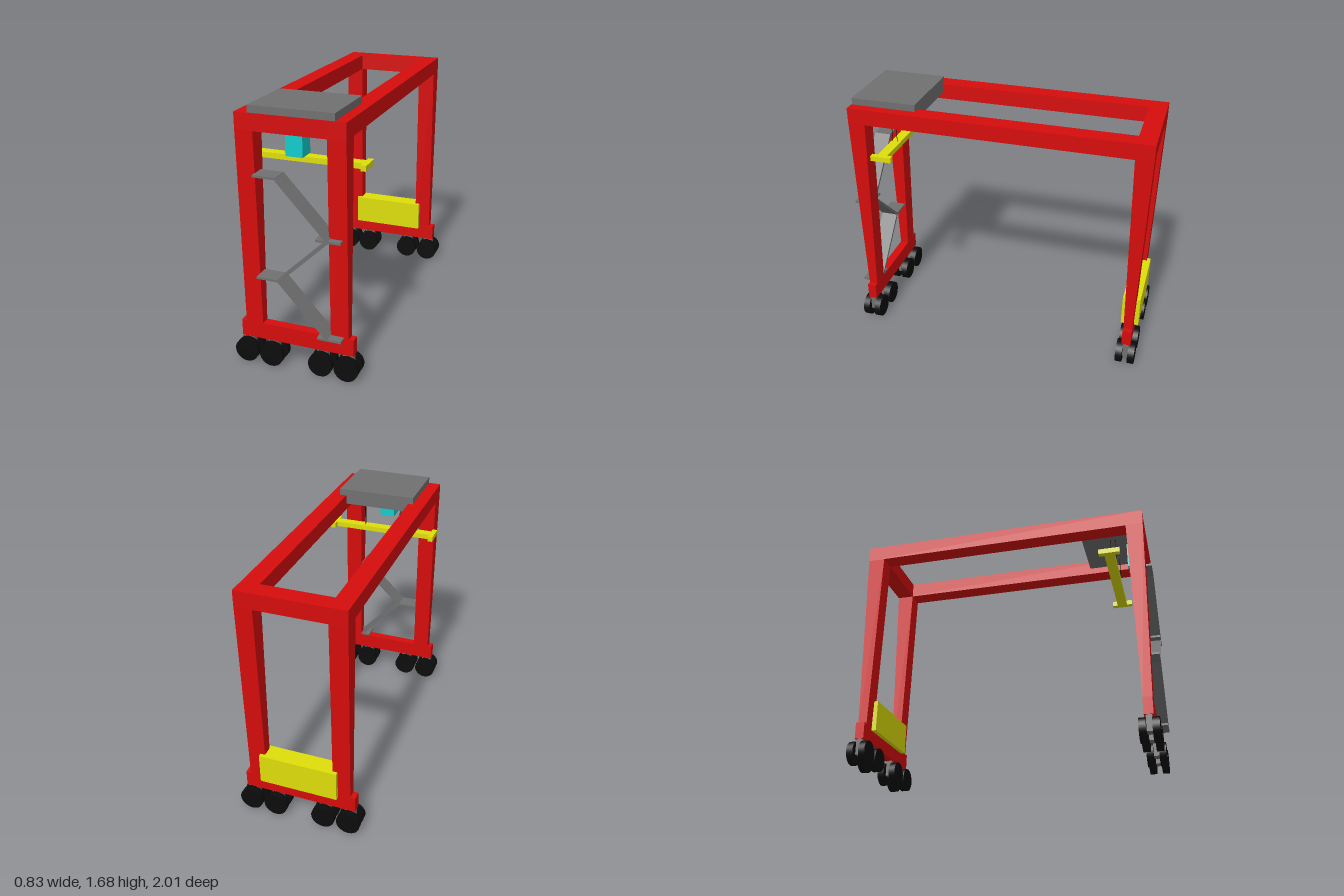
import * as THREE from 'three';

const mat = (color) => new THREE.MeshStandardMaterial({ color });

export function createModel() {
  const model = new THREE.Group();
  const red = mat(0xd60c0c), yellow = mat(0xdede0a), grey = mat(0x707070);
  const black = mat(0x0c0c0c), cyan = mat(0x10cccc);

  const add = (name, geometry, material) => {
    const mesh = new THREE.Mesh(geometry, material);
    mesh.name = name;
    model.add(mesh);
    return mesh;
  };
  // Box given by its limits on each axis
  const box = (name, material, [x0, x1], [y0, y1], [z0, z1]) => {
    const mesh = add(name, new THREE.BoxGeometry(x1 - x0, y1 - y0, z1 - z0), material);
    mesh.position.set((x0 + x1) / 2, (y0 + y1) / 2, (z0 + z1) / 2);
    return mesh;
  };

  // Tapered leg: its depth shrinks from top to bottom
  const legGeometry = new THREE.BoxGeometry(0.115, 1.27, 0.115);
  const p = legGeometry.attributes.position;
  for (let i = 0; i < p.count; i++) if (p.getY(i) < 0) p.setZ(i, p.getZ(i) * 0.5);
  legGeometry.computeVertexNormals();

  const wheelGeometry = new THREE.CylinderGeometry(0.078, 0.078, 0.044, 32).rotateX(Math.PI / 2);
  const axleGeometry = new THREE.CylinderGeometry(0.015, 0.015, 0.1, 12).rotateX(Math.PI / 2);

  // Two end frames: legs, sill, cross beam and running gear
  for (const [end, zc] of [['front', 0.913], ['back', -0.942]]) {
    box(end + 'Sill', red, [-0.375, 0.375], [0.165, 0.275], [zc - 0.03, zc + 0.03]);
    box(end + 'CrossBeam', red, [-0.228, 0.228], [1.53, 1.635], [zc - 0.058, zc + 0.058]);
    for (const s of [-1, 1]) {
      add(end + 'Leg', legGeometry, red).position.set(s * 0.2855, 0.9, zc);
      for (const x of [0.165, 0.335]) {
        box(end + 'WheelBracket', grey, [s * x - 0.035, s * x + 0.035], [0.06, 0.17], [zc - 0.02, zc + 0.02]);
        add(end + 'Axle', axleGeometry, black).position.set(s * x, 0.078, zc);
        for (const side of [-1, 1])
          add(end + 'Wheel', wheelGeometry, black).position.set(s * x, 0.078, zc + side * 0.041);
      }
    }
  }

  // Long girders carrying the trolley
  for (const s of [-1, 1])
    box('girder', red, s < 0 ? [-0.343, -0.228] : [0.228, 0.343], [1.53, 1.635], [-1, 0.971]);

  // Trolley, operator cabin, hoist cables and spreader
  box('trolley', grey, [-0.26, 0.275], [1.575, 1.68], [0.53, 0.965]);
  box('cabin', cyan, [-0.04, 0.067], [1.395, 1.577], [0.83, 0.94]);
  for (const x of [-0.115, 0.15])
    for (const z of [0.726, 0.758])
      add('cable', new THREE.CylinderGeometry(0.002, 0.002, 0.25, 6), black).position.set(x, 1.455, z);
  box('spreaderBar', yellow, [-0.35, 0.37], [1.31, 1.345], [0.703, 0.77]);
  box('spreaderEnd', yellow, [-0.38, -0.345], [1.31, 1.345], [0.667, 0.808]);
  box('spreaderEnd', yellow, [0.365, 0.4], [1.31, 1.345], [0.667, 0.808]);

  // Power unit on the back sill
  box('powerUnit', yellow, [-0.26, 0.26], [0.255, 0.462], [-1, -0.882]);

  // Zigzag access stairs with landings
  const turns = [[-0.085, 1.27], [0.235, 0.925], [-0.085, 0.62], [0.225, 0.28]];
  turns.forEach(([x, y], i) => {
    box('landing', grey, x < 0 ? [-0.23, -0.08] : [0.16, 0.315], [y - 0.007, y + 0.007], [0.885, 1]);
    if (i === 3) return;
    const [nx, ny] = turns[i + 1];
    const flight = add('stairFlight', new THREE.BoxGeometry(Math.hypot(nx - x, ny - y), 0.017, 0.115), grey);
    flight.position.set((x + nx) / 2, (y + ny) / 2, 0.9425);
    flight.rotation.z = Math.atan2(ny - y, nx - x);
  });

  return model;
}
